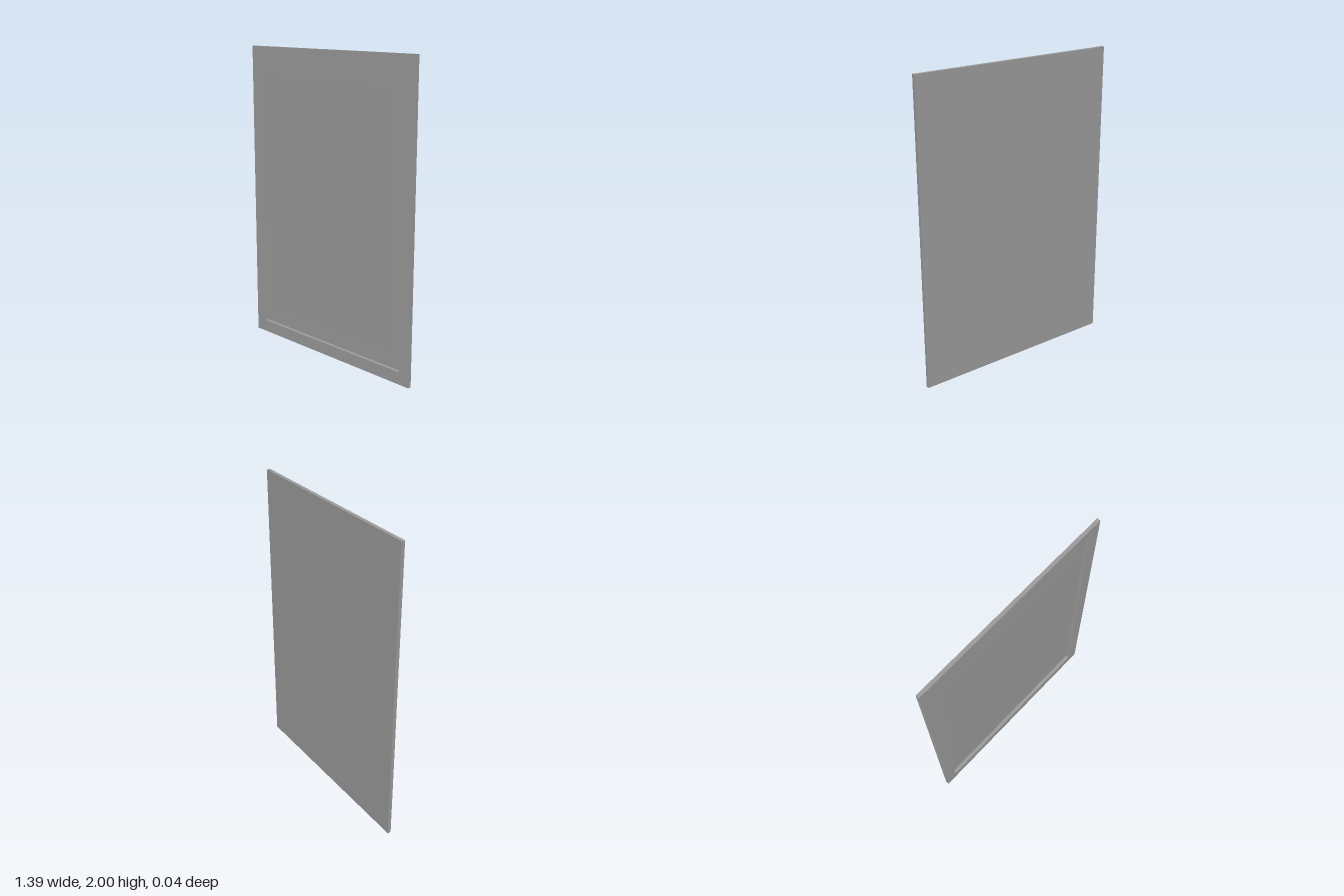
import * as THREE from 'three';

const W = 1.387, H = 2;                              // outer size
const BACK = -0.0225, FLOOR = -0.0215, FRONT = 0.0005; // depths along z

export function createModel() {
  const group = new THREE.Group();
  const grey = new THREE.MeshStandardMaterial({ color: 0x9b9b9b });
  const sheetGrey = new THREE.MeshStandardMaterial({ color: 0x9b9b9b, side: THREE.DoubleSide });

  const add = (name, geometry, material, x, y, z) => {
    const mesh = new THREE.Mesh(geometry, material);
    mesh.name = name;
    mesh.position.set(x, y, z);
    group.add(mesh);
    return mesh;
  };

  // Centred rectangle outline
  const rect = (path, w, h) => path
    .moveTo(-w / 2, -h / 2).lineTo(w / 2, -h / 2)
    .lineTo(w / 2, h / 2).lineTo(-w / 2, h / 2).closePath();

  // Thin board closing the back
  add('backBoard', new THREE.BoxGeometry(W, H, FLOOR - BACK), grey, 0, H / 2, (BACK + FLOOR) / 2);

  // Raised border around the shallow recess
  const border = new THREE.Shape();
  rect(border, W, H);
  const opening = new THREE.Path();
  rect(opening, 1.227, 1.838);
  border.holes.push(opening);
  add('frameBorder',
    new THREE.ExtrudeGeometry(border, { depth: FRONT - FLOOR, bevelEnabled: false }),
    grey, 0, H / 2, FLOOR);

  // Flat sheet leaning forward at the top, its foot resting near the board
  const sheet = add('pictureSheet', new THREE.PlaneGeometry(1.108, 1.633), sheetGrey, 0.002, H / 2, 0.0005);
  sheet.rotation.x = Math.atan(0.0262);

  return group;
}
